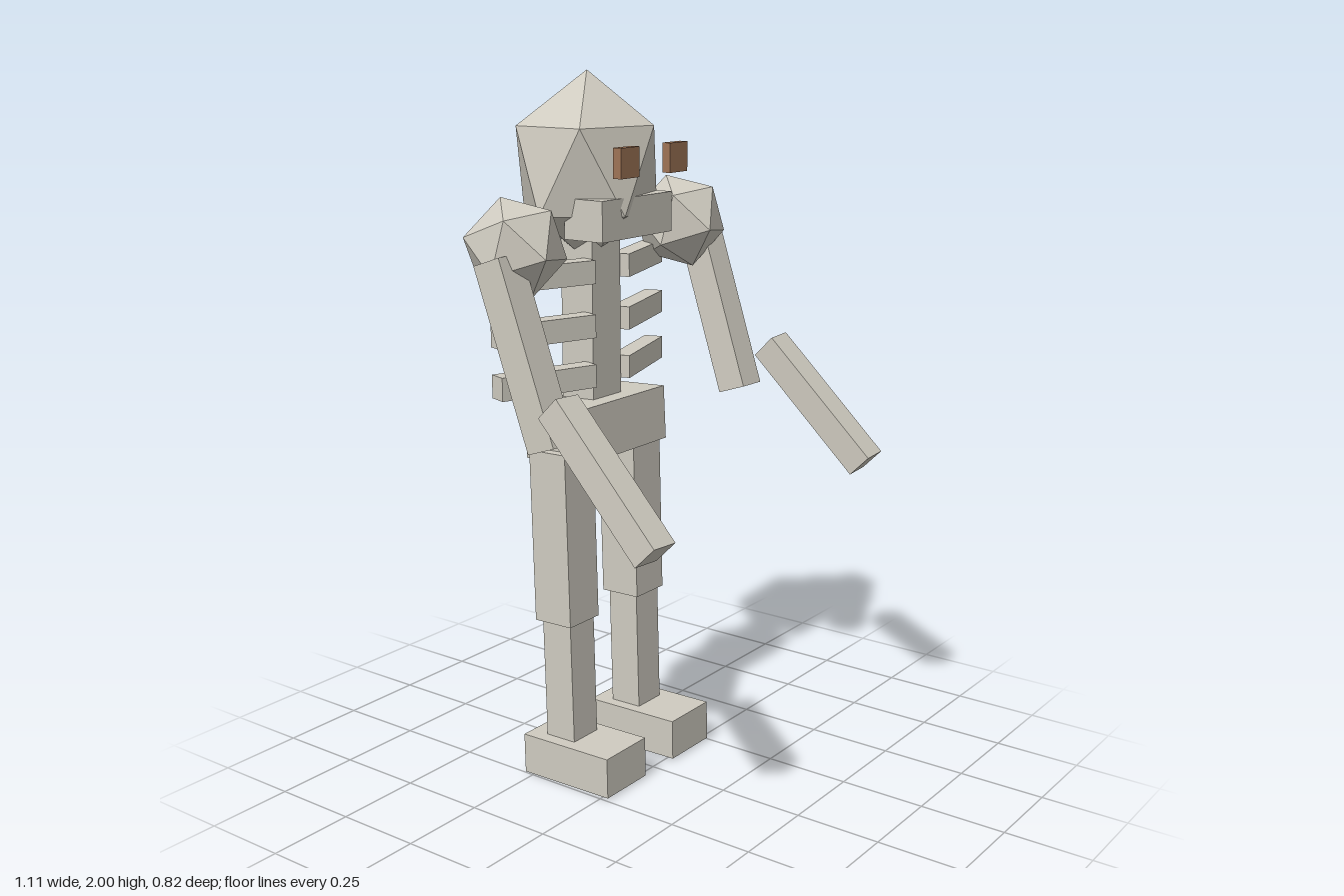
import * as THREE from 'three';

const bone = new THREE.MeshStandardMaterial({ color: 0xcfcbc0 });
bone.name = 'bone';
const brown = new THREE.MeshStandardMaterial({ color: 0x9e7456 });
brown.name = 'eyeBrown';

// twenty-sided ball standing on one corner, with a corner of its upper ring towards +x
function facetedBall(rx, ry, rz) {
  const g = new THREE.IcosahedronGeometry(1, 0);
  g.rotateZ(-Math.atan(2 / (1 + Math.sqrt(5))));
  g.scale(rx, ry, rz);
  return g;
}

export function createModel() {
  const model = new THREE.Group();
  model.name = 'skeleton';

  const add = (name, geometry, pos, rot = [0, 0, 0], material = bone) => {
    const mesh = new THREE.Mesh(geometry, material);
    mesh.name = name;
    mesh.position.set(...pos);
    mesh.rotation.set(...rot);
    model.add(mesh);
    return mesh;
  };
  const box = (name, size, pos, rot, material) =>
    add(name, new THREE.BoxGeometry(...size), pos, rot, material);

  // head and trunk
  add('skull', facetedBall(0.235, 0.262, 0.21), [0, 1.738, -0.222]);
  box('jaw', [0.31, 0.11, 0.13], [0, 1.615, -0.115]);
  box('spine', [0.125, 0.5, 0.11], [0, 1.3, -0.215]);
  box('pelvis', [0.38, 0.155, 0.205], [0, 1.022, -0.2], [-0.05, 0, 0]);

  // paired parts
  for (const [side, s] of [['left', 1], ['right', -1]]) {
    box(side + 'Eye', [0.08, 0.08, 0.026], [s * 0.108, 1.77, -0.005], [0, 0, 0], brown);

    // ribs sweep back towards their outer ends
    [1.175, 1.315, 1.465].forEach((y, i) =>
      box(side + 'Rib' + (i + 1), [0.3, 0.065, 0.055], [s * 0.209, y, -0.211], [0, s * 0.32, 0]));

    // arm, swung forward
    add(side + 'Shoulder', facetedBall(0.136, 0.138, 0.142), [s * 0.363, 1.56, -0.172], [-0.36, 0, 0]);
    box(side + 'UpperArm', [0.09, 0.5, 0.09], [s * 0.44, 1.305, -0.08], [-0.33, 0, -s * 0.02]);
    box(side + 'Forearm', [0.083, 0.453, 0.082], [s * 0.503, 1.04, 0.23], [-Math.PI / 4, 0, s * 0.055]);

    // leg
    box(side + 'Thigh', [0.127, 0.5, 0.127], [s * 0.155, 0.725, -0.196], [-0.025, 0, 0]);
    box(side + 'Shin', [0.105, 0.44, 0.1], [s * 0.154, 0.29, -0.182], [-0.025, 0, 0]);
    box(side + 'Foot', [0.178, 0.118, 0.305], [s * 0.156, 0.064, -0.13], [-0.02, 0, 0]);
  }
  return model;
}
